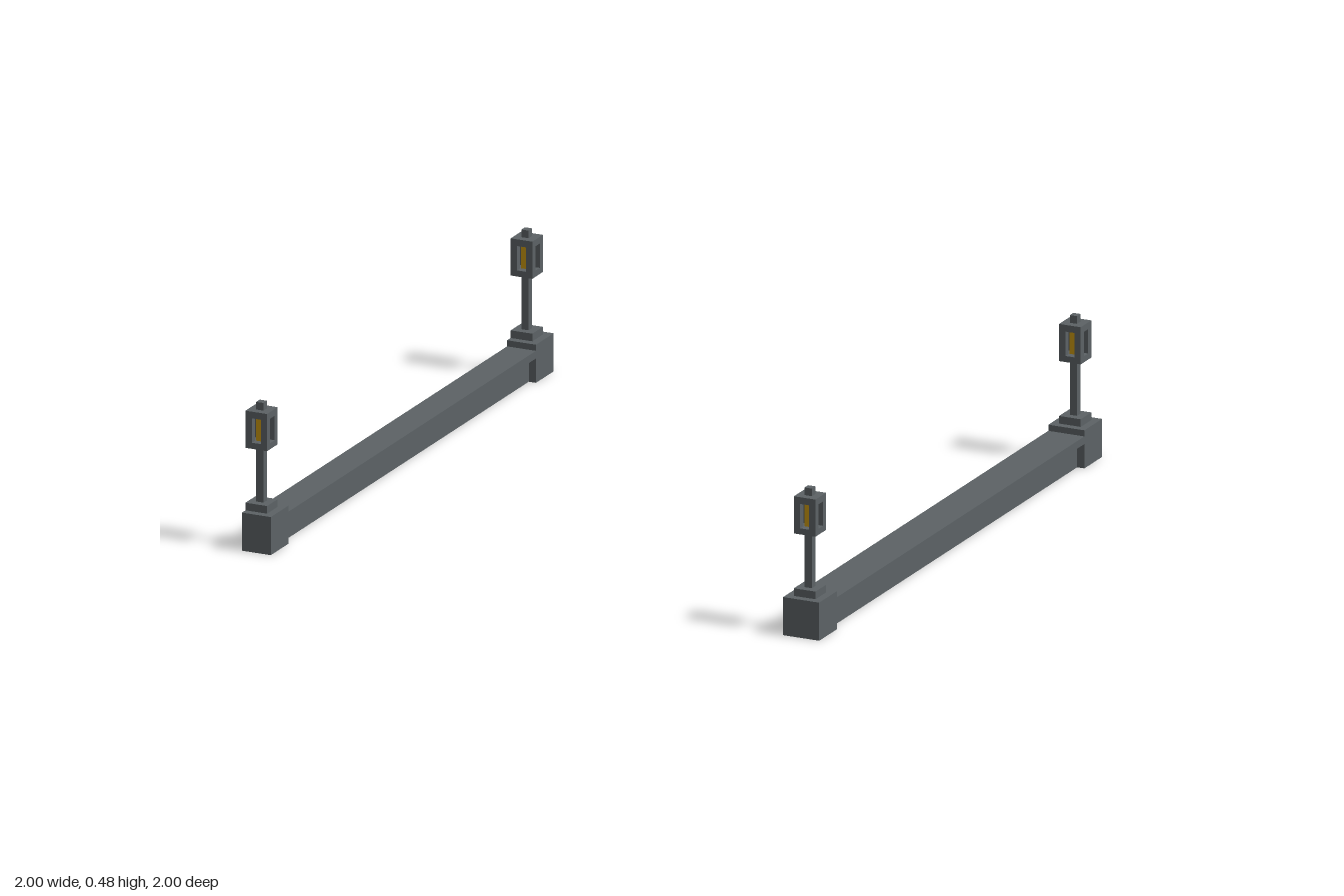
import * as THREE from 'three';

const stone = new THREE.MeshStandardMaterial({ color: 0x5c6265 });
stone.name = 'slate grey';
const glow = new THREE.MeshStandardMaterial({ color: 0xc8960f });
glow.name = 'amber';

// Box given by its minimum and maximum corners
function box(parent, name, [x0, y0, z0], [x1, y1, z1], material = stone) {
  const mesh = new THREE.Mesh(new THREE.BoxGeometry(x1 - x0, y1 - y0, z1 - z0), material);
  mesh.position.set((x0 + x1) / 2, (y0 + y1) / 2, (z0 + z1) / 2);
  mesh.name = name;
  parent.add(mesh);
}

// Square column centred on the parent's vertical axis
function column(parent, name, width, y0, y1, material) {
  const h = width / 2;
  box(parent, name, [-h, y0, -h], [h, y1, h], material);
}

// Lantern on a pole: open cage with a glowing core
function createLamp() {
  const lamp = new THREE.Group();
  lamp.name = 'lamp';
  column(lamp, 'basePlate', 0.075, 0.125, 0.15);
  column(lamp, 'pole', 0.025, 0.15, 0.33);
  column(lamp, 'cageFloor', 0.075, 0.33, 0.35);
  column(lamp, 'core', 0.026, 0.35, 0.43, glow);
  column(lamp, 'cageRoof', 0.075, 0.43, 0.452);
  column(lamp, 'finial', 0.025, 0.452, 0.477);
  for (const x of [-0.0375, 0.0155]) {
    for (const z of [-0.0375, 0.0155]) {
      box(lamp, 'cagePost', [x, 0.35, z], [x + 0.022, 0.43, z + 0.022]);
    }
  }
  return lamp;
}

// Low wall with coping, end blocks and two lamps
function createWall(name, outer0, outer1, inner0, inner1, lampX) {
  const wall = new THREE.Group();
  wall.name = name;
  box(wall, 'wallBody', [inner0, 0, -0.875], [inner1, 0.08, 0.875]);
  box(wall, 'coping', [outer0, 0.08, -0.875], [outer1, 0.105, 0.875]);
  for (const s of [-1, 1]) {
    box(wall, 'endBlock', [outer0, 0, s * 0.9375 - 0.0625], [outer1, 0.125, s * 0.9375 + 0.0625]);
    const lamp = createLamp();
    lamp.position.set(lampX, 0, s * 0.9375);
    wall.add(lamp);
  }
  return wall;
}

export function createModel() {
  const model = new THREE.Group();
  model.name = 'lampWalls';
  // The right wall is cut flush along its outer side
  model.add(createWall('leftWall', 0.875, 1, 0.9, 0.975, 0.9375));
  model.add(createWall('rightWall', -1, -0.9, -1, -0.925, -0.9625));
  return model;
}
